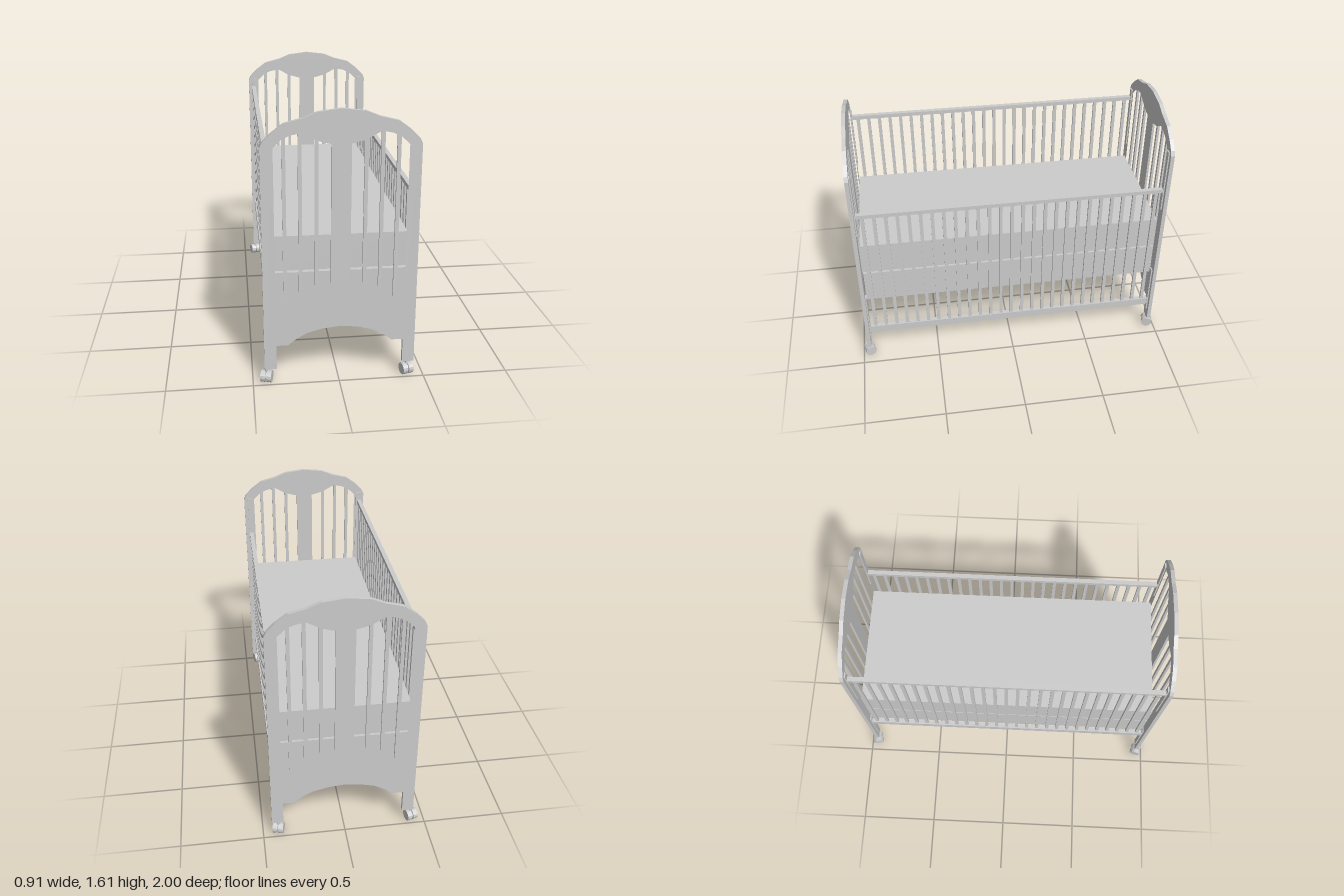
import * as THREE from 'three';

const CX = 0.007;      // middle of the end panels
const END_Z = 0.957;   // middle of each end panel along z
const mat = new THREE.MeshStandardMaterial({ color: 0xcccccc, flatShading: true });

function add(parent, name, geometry, x = 0, y = 0, z = 0) {
  const mesh = new THREE.Mesh(geometry, mat);
  mesh.name = name;
  mesh.position.set(x, y, z);
  parent.add(mesh);
  return mesh;
}

// Box given by its centre in x and z, and its bottom and top heights
function block(parent, name, x, z, y0, y1, w, d) {
  return add(parent, name, new THREE.BoxGeometry(w, y1 - y0, d), x, (y0 + y1) / 2, z);
}

// Closed outline from the points of its left half; points on x = 0 are not doubled
function mirrored(points) {
  const right = points.filter(p => p[0] !== 0).map(([x, y]) => [-x, y]).reverse();
  return [...points, ...right].map(([x, y]) => new THREE.Vector2(x, y));
}

// Half outlines of the end panel and of its window
const ARCH = [[0, 0.342], [-0.1, 0.332], [-0.19, 0.308], [-0.25, 0.275], [-0.3, 0.235],
  [-0.368, 0.235], [-0.368, 0.085], [-0.438, 0.085]];
const CROWN = [[-0.438, 1.41], [-0.425, 1.44], [-0.375, 1.49], [-0.308, 1.54],
  [-0.205, 1.566], [-0.13, 1.597], [0, 1.613]];
const SILL = [[0, 0.622], [-0.1, 0.618], [-0.18, 0.602], [-0.235, 0.573], [-0.295, 0.518],
  [-0.32, 0.497], [-0.368, 0.497]];
const HEAD = [[-0.368, 1.41], [-0.32, 1.455], [-0.275, 1.475], [-0.215, 1.487],
  [-0.135, 1.443], [-0.07, 1.425], [0, 1.415]];

function endPanel(name, side) {
  const g = new THREE.Group();
  g.name = name;
  g.position.set(CX, 0, side * END_Z);

  const shape = new THREE.Shape(mirrored([...ARCH, ...CROWN]));
  shape.holes.push(new THREE.Path(mirrored([...SILL, ...HEAD])));
  const depth = 0.024;
  const frame = new THREE.ExtrudeGeometry(shape, { depth, bevelEnabled: false });
  add(g, 'endFrame', frame, 0, 0, -depth / 2);

  // Wide middle board and three slats on each side
  block(g, 'middleBoard', 0, 0, 0.61, 1.425, 0.11, 0.014);
  const slats = [[0.135, 0.6, 1.45], [0.225, 0.565, 1.49], [0.312, 0.495, 1.465]];
  for (const s of [-1, 1]) {
    for (const [x, y0, y1] of slats) block(g, 'endSlat', s * x, 0, y0, y1, 0.021, 0.014);
    // Guides that hold the side rails
    for (const [y0, y1] of [[0.15, 0.5], [1.0, 1.42]]) {
      block(g, 'railGuide', s * 0.398, -side * 0.015, y0, y1, 0.032, 0.01);
    }
  }
  return g;
}

// Slatted long side; lift raises the whole side
function sideRail(name, x, lift) {
  const g = new THREE.Group();
  g.name = name;
  g.position.set(x, lift, 0);
  const length = 1.88;
  block(g, 'topRail', 0, 0, 1.127, 1.152, 0.028, length);
  block(g, 'bottomRail', 0, 0, 0.195, 0.245, 0.028, length);
  const count = 27;
  for (let i = 0; i < count; i++) {
    block(g, 'sideSlat', 0, -0.9 + (1.8 * i) / (count - 1), 0.24, 1.13, 0.014, 0.021);
  }
  return g;
}

// Twin-wheel caster, turned about its stem
function caster(x, z, turn) {
  const g = new THREE.Group();
  g.name = 'caster';
  g.position.set(x, 0, z);
  g.rotation.y = turn;
  for (const s of [-1, 1]) {
    const wheel = new THREE.CylinderGeometry(0.035, 0.035, 0.028, 14).rotateZ(Math.PI / 2);
    add(g, 'wheel', wheel, s * 0.018, 0.035, 0);
  }
  add(g, 'axle', new THREE.CylinderGeometry(0.026, 0.026, 0.02, 12).rotateZ(Math.PI / 2), 0, 0.035, 0);
  add(g, 'stem', new THREE.CylinderGeometry(0.009, 0.009, 0.06, 8), 0, 0.07, 0);
  return g;
}

export function createModel() {
  const model = new THREE.Group();
  model.name = 'crib';

  model.add(endPanel('frontPanel', 1), endPanel('backPanel', -1));

  // The left side is lowered, the right side is raised
  model.add(sideRail('leftSide', 0.405, 0));
  model.add(sideRail('rightSide', -0.397, 0.223 - 0.013));
  model.getObjectByName('rightSide').position.y = 0.215;

  // Mattress above a deep base, with a narrow gap between
  block(model, 'mattress', 0.004, 0, 0.69, 0.897, 0.766, 1.876);
  block(model, 'base', 0.004, 0, 0.46, 0.677, 0.766, 1.876);

  for (const sz of [-1, 1]) {
    model.add(caster(-0.42, sz * 0.957, sz * -0.27));
    model.add(caster(0.405, sz * 0.957, sz * 0.27));
  }
  return model;
}
